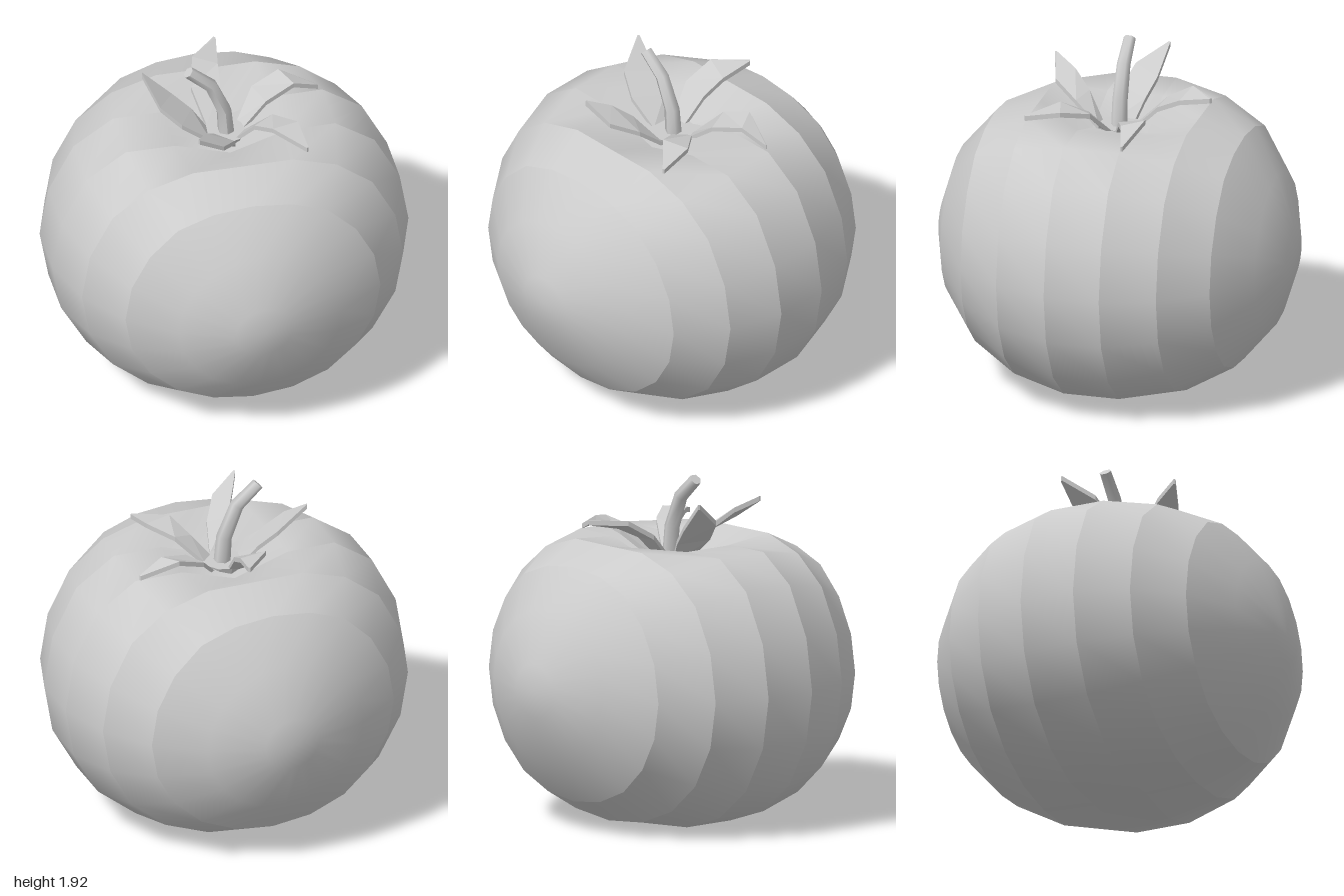
import * as THREE from 'three';

const grey = new THREE.MeshStandardMaterial({ color: 0xcccccc });
const greyFlat = new THREE.MeshStandardMaterial({ color: 0xcccccc, flatShading: true });

// Height of the fruit surface for each height on a unit sphere (dimpled top, flat base)
const PROFILE = [
  [-1, -0.79], [-0.95, -0.82], [-0.81, -0.73], [-0.59, -0.55], [-0.31, -0.29], [0, 0],
  [0.31, 0.3], [0.59, 0.58], [0.81, 0.73], [0.87, 0.757], [0.94, 0.72], [0.988, 0.62], [1, 0.6],
];
function squash(s) {
  for (let i = 1; i < PROFILE.length; i++) {
    const [s0, h0] = PROFILE[i - 1], [s1, h1] = PROFILE[i];
    if (s <= s1 || i === PROFILE.length - 1) {
      return 0.82 + h0 + (h1 - h0) * THREE.MathUtils.clamp((s - s0) / (s1 - s0), 0, 1);
    }
  }
}

// Strip of the fruit between rings (poles lie on z); each strip is smooth in itself
function fruitStrip(angles) {
  const N = 20, pos = [], index = [];
  for (const a of angles) {
    for (let j = 0; j < N; j++) {
      const f = (j / N) * Math.PI * 2, r = Math.cos(a);
      pos.push(1.012 * r * Math.cos(f), squash(r * Math.sin(f)), Math.sin(a));
    }
  }
  const id = (i, j) => i * N + (Math.abs(Math.cos(angles[i])) < 1e-6 ? 0 : j % N);
  for (let i = 0; i < angles.length - 1; i++) {
    for (let j = 0; j < N; j++) {
      const a = id(i, j), b = id(i, j + 1), c = id(i + 1, j), d = id(i + 1, j + 1);
      if (a !== b) index.push(a, c, b);
      if (c !== d) index.push(b, c, d);
    }
  }
  const g = new THREE.BufferGeometry();
  g.setAttribute('position', new THREE.Float32BufferAttribute(pos, 3));
  g.setIndex(index);
  g.computeVertexNormals();
  return g;
}

// Thin leaf lofted through sections: [left x,y,z, right x,y,z]
function leafGeometry(sections, t = 0.028) {
  const pos = [], index = [];
  for (const [lx, ly, lz, rx, ry, rz] of sections) {
    pos.push(lx, ly, lz, rx, ry, rz, rx, ry - t, rz, lx, ly - t, lz);
  }
  const quad = (a, b, c, d) => index.push(a, b, c, a, c, d);
  const last = (sections.length - 1) * 4;
  for (let i = 0; i < last; i += 4) {
    for (let k = 0; k < 4; k++) {
      const n = (k + 1) % 4;
      quad(i + k, i + n, i + 4 + n, i + 4 + k);
    }
  }
  quad(0, 3, 2, 1);
  quad(last, last + 1, last + 2, last + 3);
  let g = new THREE.BufferGeometry();
  g.setAttribute('position', new THREE.Float32BufferAttribute(pos, 3));
  g.setIndex(index);
  g = g.toNonIndexed();
  g.computeVertexNormals();
  return g;
}

const LEAVES = {
  backLeaf: [
    [-0.08, 1.47, -0.08, 0.01, 1.47, -0.08], [-0.13, 1.62, -0.24, 0.03, 1.61, -0.22],
    [-0.09, 1.71, -0.39, 0.045, 1.67, -0.35], [0.065, 1.71, -0.54, 0.075, 1.71, -0.53],
  ],
  leftLeaf: [
    [0.09, 1.47, -0.08, 0.1, 1.47, 0], [0.2, 1.6, -0.2, 0.25, 1.59, -0.06],
    [0.36, 1.66, -0.24, 0.42, 1.64, -0.12], [0.56, 1.575, -0.17, 0.565, 1.575, -0.16],
  ],
  frontLeftLeaf: [
    [0.11, 1.48, 0.02, 0.05, 1.48, 0.08], [0.25, 1.62, 0.1, 0.14, 1.59, 0.14],
    [0.36, 1.655, 0.24, 0.21, 1.66, 0.28], [0.375, 1.62, 0.435, 0.365, 1.62, 0.44],
  ],
  frontLeaf: [
    [0.04, 1.47, 0.11, -0.03, 1.47, 0.1], [0, 1.59, 0.25, -0.1, 1.62, 0.2],
    [-0.09, 1.67, 0.39, -0.17, 1.71, 0.3], [-0.235, 1.77, 0.435, -0.24, 1.77, 0.425],
  ],
  rightLeaf: [
    [-0.09, 1.47, 0.05, -0.08, 1.47, -0.06], [-0.25, 1.6, 0.06, -0.16, 1.58, -0.1],
    [-0.36, 1.7, 0.01, -0.26, 1.67, -0.14], [-0.425, 1.82, -0.16, -0.42, 1.82, -0.17],
  ],
};

export function createModel() {
  const model = new THREE.Group();
  const add = (name, geometry, material, parent = model) => {
    const mesh = new THREE.Mesh(geometry, material);
    mesh.name = name;
    parent.add(mesh);
    return mesh;
  };

  // Fruit: two smooth caps and three bands
  const fruit = new THREE.Group();
  fruit.name = 'fruit';
  model.add(fruit);
  const strips = [[90, 81, 63, 45], [45, 27], [27, 9], [9, -9], [-9, -27], [-27, -45], [-45, -63, -81, -90]];
  strips.forEach((s, i) => add(`fruitBand${i + 1}`, fruitStrip(s.map(THREE.MathUtils.degToRad)), grey, fruit));

  // Leaves around a small hub
  const calyx = new THREE.Group();
  calyx.name = 'calyx';
  model.add(calyx);
  for (const [name, sections] of Object.entries(LEAVES)) add(name, leafGeometry(sections), greyFlat, calyx);
  add('hub', new THREE.CylinderGeometry(0.12, 0.1, 0.05, 10), greyFlat, calyx).position.y = 1.455;

  // Stem: a six-sided cylinder whose rows are moved along a bend: [x, y, tilt]
  const rows = [[-0.2, 1.91, 0.8], [-0.075, 1.8, 0.55], [0, 1.62, 0.2], [0.015, 1.43, 0]];
  const stem = new THREE.CylinderGeometry(0.034, 0.048, 3, 6, 3);
  const p = stem.attributes.position;
  for (let i = 0; i < p.count; i++) {
    const [x, y, tilt] = rows[Math.round(1.5 - p.getY(i))];
    const px = p.getX(i);
    p.setXY(i, x + px * Math.cos(tilt), y + px * Math.sin(tilt));
  }
  stem.computeVertexNormals();
  add('stem', stem, grey);
  return model;
}
